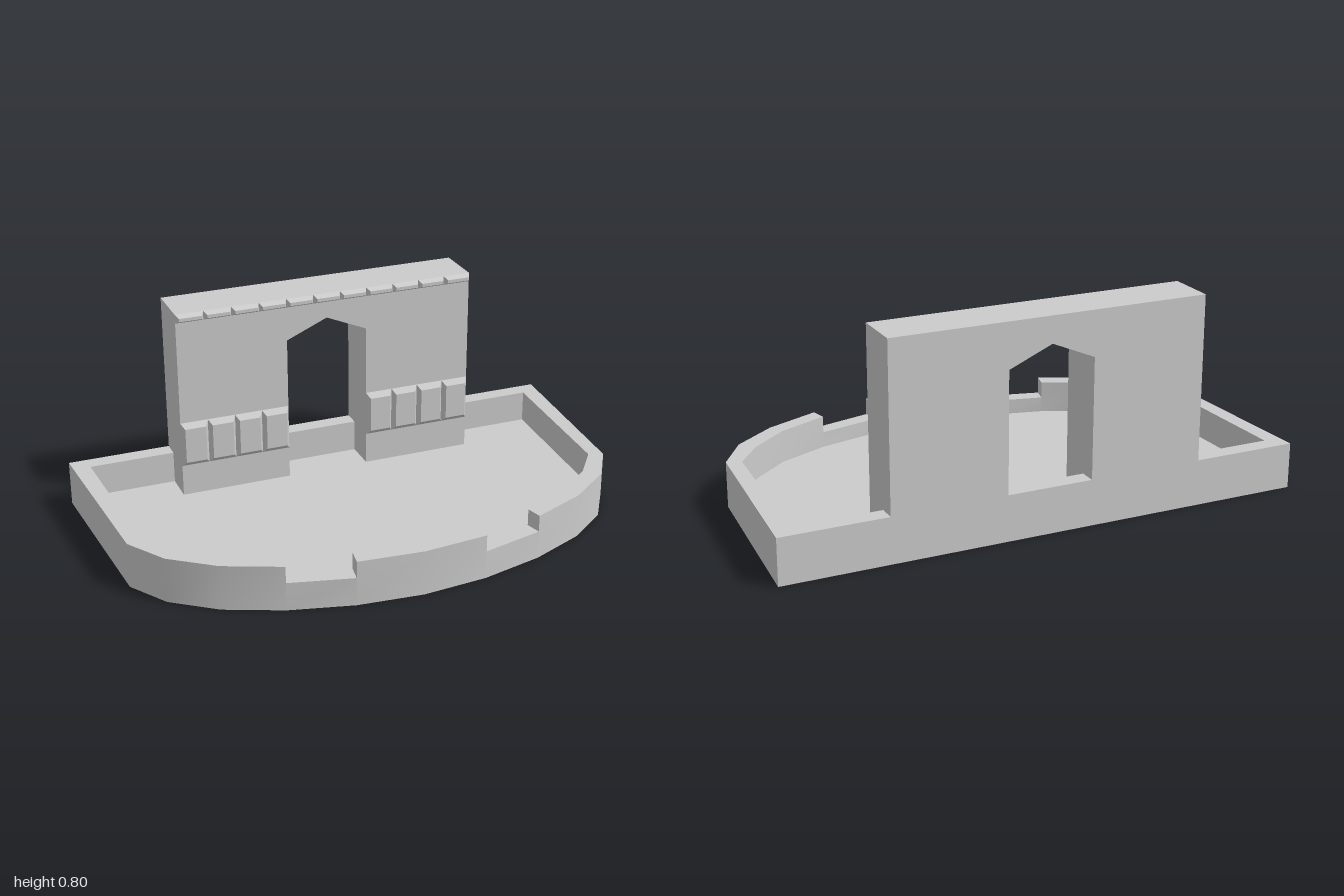
import * as THREE from 'three';
import { toCreasedNormals } from 'three/addons/utils/BufferGeometryUtils.js';

const FLOOR = 0.05, RIM = 0.175, NOTCH = 0.11, TOP = 0.8;
const BACK = -0.575, RIM_IN = -0.51, FRONT = -0.385;   // z planes of the rear wall
const W = 0.6, DOOR = 0.163, SPRING = 0.63, APEX = 0.7;

// Half outlines (x, z) of the rim, from back corner to front centre
const OUTER = [[1, BACK], [0.955, 0.13], [0.86, 0.28], [0.7, 0.4], [0.49, 0.49], [0.25, 0.55], [0, 0.572]];
const INNER = [[0.93, RIM_IN], [0.9, 0.11], [0.81, 0.23], [0.67, 0.345], [0.475, 0.43], [0.24, 0.485], [0, 0.502]];

const sheet = new THREE.MeshStandardMaterial({ color: 0xcccccc, side: THREE.DoubleSide });
const solid = new THREE.MeshStandardMaterial({ color: 0xcccccc, flatShading: true });

// Collects quads together with their mirror images in x
function mirroredQuads() {
  const pos = [];
  const put = (a, b, c, d) => pos.push(...a, ...b, ...c, ...a, ...c, ...d);
  const flip = ([x, y, z]) => [-x, y, z];
  return {
    quad(a, b, c, d) {
      put(a, b, c, d);
      put(flip(d), flip(c), flip(b), flip(a));
    },
    build() {
      const g = new THREE.BufferGeometry();
      g.setAttribute('position', new THREE.Float32BufferAttribute(pos, 3));
      return toCreasedNormals(g, 0.44);
    },
  };
}

function add(parent, name, geometry, material) {
  const mesh = new THREE.Mesh(geometry, material);
  mesh.name = name;
  parent.add(mesh);
  return mesh;
}

const shapeOf = (pts) => new THREE.Shape(pts.map(([x, y]) => new THREE.Vector2(x, y)));
const mirrorOutline = (half) => [...half, ...half.filter((p) => p[0] !== 0).reverse().map(([x, y]) => [-x, y])];

// Block whose front face is inset on all four sides
function bevelBlock(w, h, d, insetX, insetY) {
  const g = new THREE.BoxGeometry(w, h, d);
  const p = g.attributes.position;
  for (let i = 0; i < p.count; i++) {
    if (p.getZ(i) > 0) {
      p.setX(i, p.getX(i) - Math.sign(p.getX(i)) * insetX);
      p.setY(i, p.getY(i) - Math.sign(p.getY(i)) * insetY);
    }
  }
  g.computeVertexNormals();
  return g.translate(0, 0, d / 2);
}

function rimGeometry() {
  const { quad, build } = mirroredQuads();
  const at = (p, y) => [p[0], y, p[1]];
  for (let i = 0; i < OUTER.length - 1; i++) {
    const h = i === 4 ? NOTCH : RIM;
    const [a, b, c, d] = [OUTER[i], OUTER[i + 1], INNER[i], INNER[i + 1]];
    quad(at(b, 0), at(a, 0), at(a, h), at(b, h));
    quad(at(a, h), at(c, h), at(d, h), at(b, h));
    quad(at(c, FLOOR), at(d, FLOOR), at(d, h), at(c, h));
  }
  // Ends of the two notches
  const end = (k) => [at(OUTER[k], NOTCH), at(INNER[k], NOTCH), at(INNER[k], RIM), at(OUTER[k], RIM)];
  quad(...end(4).reverse());
  quad(...end(5));
  // Back side: outer face, then ledge and inner face beside the wall and in the doorway
  quad([1, 0, BACK], [0, 0, BACK], [0, RIM, BACK], [1, RIM, BACK]);
  for (const [x0, xOut, xIn] of [[W, 1, 0.93], [0, DOOR, DOOR]]) {
    quad([xOut, RIM, BACK], [x0, RIM, BACK], [x0, RIM, RIM_IN], [xIn, RIM, RIM_IN]);
    quad([x0, FLOOR, RIM_IN], [xIn, FLOOR, RIM_IN], [xIn, RIM, RIM_IN], [x0, RIM, RIM_IN]);
  }
  return build();
}

function wallSidesGeometry() {
  const { quad, build } = mirroredQuads();
  // Outer ends and door reveals: above the rim, then down to the floor in front of it
  for (const [zb, y0, yEnd, yDoor] of [[BACK, RIM, TOP, SPRING], [RIM_IN, FLOOR, RIM, RIM]]) {
    quad([W, y0, FRONT], [W, y0, zb], [W, yEnd, zb], [W, yEnd, FRONT]);
    quad([DOOR, y0, zb], [DOOR, y0, FRONT], [DOOR, yDoor, FRONT], [DOOR, yDoor, zb]);
  }
  // Pointed door head and wall top
  quad([DOOR, SPRING, FRONT], [0, APEX, FRONT], [0, APEX, BACK], [DOOR, SPRING, BACK]);
  quad([0, TOP, FRONT], [W, TOP, FRONT], [W, TOP, BACK], [0, TOP, BACK]);
  return build();
}

// Wall face with the door cut out from its lower edge
const wallFace = (y0) => new THREE.ShapeGeometry(shapeOf(
  mirrorOutline([[0, APEX], [DOOR, SPRING], [DOOR, y0], [W, y0], [W, TOP]])));

export function createModel() {
  const model = new THREE.Group();
  model.name = 'balcony';

  add(model, 'rim', rimGeometry(), sheet);

  // Floor, cut away under the two hollow piers
  const half = [[0, -RIM_IN], [DOOR, -RIM_IN], [DOOR, -FRONT], [W, -FRONT], [W, -RIM_IN],
    ...INNER.map(([x, z]) => [x, -z])];
  const outline = [...half, ...half.slice(1, -1).reverse().map(([x, y]) => [-x, y])];
  const floor = add(model, 'floor', new THREE.ShapeGeometry(shapeOf(outline)).rotateX(-Math.PI / 2), sheet);
  floor.position.y = FLOOR;

  // Rear wall with doorway
  const wall = new THREE.Group();
  wall.name = 'rearWall';
  model.add(wall);
  add(wall, 'wallFront', wallFace(FLOOR), sheet).position.z = FRONT;
  add(wall, 'wallBack', wallFace(RIM).rotateY(Math.PI), sheet).position.z = BACK;
  add(wall, 'wallSides', wallSidesGeometry(), sheet);

  // Four bevelled panels at the foot of each pier
  const pw = (W - DOOR) / 4;
  const panel = bevelBlock(pw, 0.18, 0.02, 0.013, 0.02);
  for (const side of [-1, 1]) {
    for (let i = 0; i < 4; i++) {
      add(wall, 'panel', panel, solid).position.set(side * (DOOR + pw * (i + 0.5)), 0.265, FRONT);
    }
  }

  // Cornice of bevelled blocks along the top edge
  const n = 11, cw = (2 * W) / n;
  const block = bevelBlock(cw, 0.035, 0.02, 0.01, 0.011);
  for (let i = 0; i < n; i++) {
    add(wall, 'corniceBlock', block, solid).position.set(-W + cw * (i + 0.5), TOP - 0.0175, FRONT);
  }
  return model;
}
